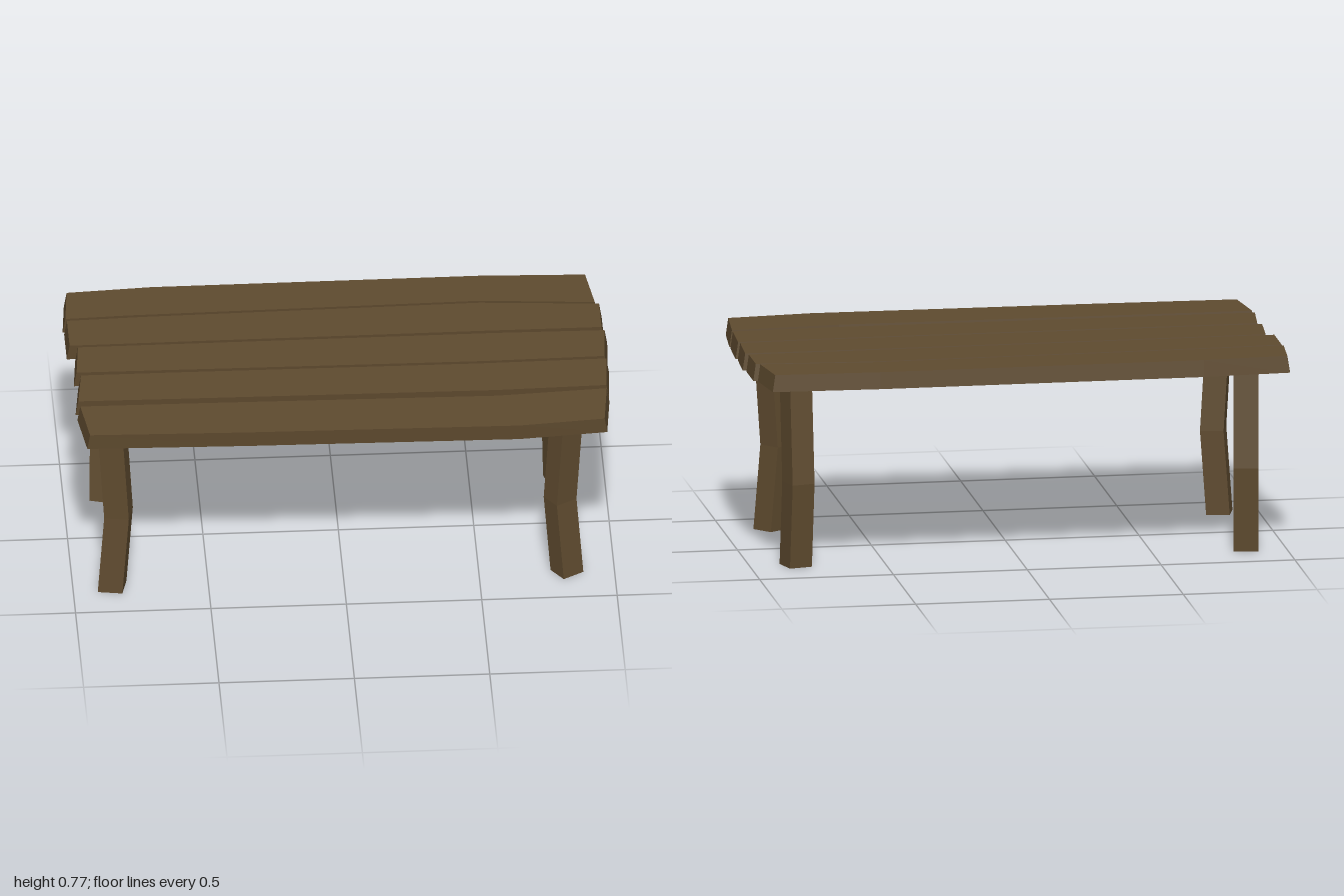
import * as THREE from 'three';

const wood = new THREE.MeshStandardMaterial({ color: 0x5f4b2f, flatShading: true, side: THREE.DoubleSide });

// Lofts a shell through rings of [x, y, z] (top ring first, counter-clockwise from above).
function loft(rings, capTop) {
  const n = rings[0].length;
  const index = [];
  for (let r = 0; r < rings.length - 1; r++) {
    for (let i = 0; i < n; i++) {
      const a = r * n + i, b = r * n + (i + 1) % n;
      index.push(a, a + n, b + n, a, b + n, b);
    }
  }
  if (capTop) {
    for (let i = 0; i < n / 2 - 1; i++) {
      index.push(i, i + 1, n - 2 - i, i, n - 2 - i, n - 1 - i);
    }
  }
  const geometry = new THREE.BufferGeometry();
  geometry.setAttribute('position', new THREE.Float32BufferAttribute(rings.flat(2), 3));
  geometry.setIndex(index);
  geometry.computeVertexNormals();
  return geometry;
}

// Plank outlines, [x, z] from left to right along the front and back edges.
const planks = [
  { front: [[-0.99, -0.305], [-0.76, -0.315], [0.54, -0.337], [0.965, -0.303]],
    back: [[-0.975, -0.48], [-0.66, -0.5], [0.55, -0.505], [0.94, -0.49]] },
  { front: [[-0.985, -0.125], [-0.59, -0.128], [0.55, -0.135], [0.98, -0.135]],
    back: [[-0.985, -0.292], [-0.7, -0.302], [0.54, -0.324], [0.98, -0.292]] },
  { front: [[-0.97, 0.057], [-0.58, 0.06], [0.52, 0.068], [0.98, 0.06]],
    back: [[-0.955, -0.112], [-0.6, -0.113], [0.58, -0.118], [0.99, -0.113]] },
  { front: [[-0.975, 0.25], [-0.57, 0.255], [0.57, 0.265], [0.975, 0.255]],
    back: [[-0.955, 0.077], [-0.61, 0.077], [0.52, 0.083], [0.985, 0.077]] },
  { front: [[-0.945, 0.48], [-0.37, 0.495], [0.64, 0.508], [0.955, 0.48]],
    back: [[-0.97, 0.285], [-0.585, 0.288], [0.57, 0.303], [0.975, 0.277]] },
];

// Hollow plank, open underneath, with ends that flare slightly downward.
function makePlank({ front, back }) {
  const outline = [...front, ...[...back].reverse()];
  const top = outline.map(([x, z]) => [x, 0.768, z]);
  const bottom = outline.map(([x, z]) => [x + (Math.abs(x) > 0.8 ? 0.01 * Math.sign(x) : 0), 0.705, z - 0.005]);
  return loft([top, bottom], true);
}

// Leg footprints with the sideways bend at knee height.
const legs = [
  { name: 'frontLeftLeg', bend: [-0.025, -0.006],
    foot: [[0.765, 0.315], [0.81, 0.38], [0.885, 0.335], [0.83, 0.272]] },
  { name: 'frontRightLeg', bend: [0.024, -0.006],
    foot: [[-0.885, 0.275], [-0.91, 0.365], [-0.82, 0.38], [-0.8, 0.295]] },
  { name: 'backLeftLeg', bend: [-0.005, -0.03],
    foot: [[0.775, -0.32], [0.8, -0.225], [0.885, -0.255], [0.86, -0.34]] },
  { name: 'backRightLeg', bend: [0.005, -0.03],
    foot: [[-0.89, -0.34], [-0.905, -0.25], [-0.82, -0.225], [-0.8, -0.325]] },
];

// Crooked open-ended leg.
function makeLeg({ foot, bend }) {
  const ring = (y, k) => foot.map(([x, z]) => [x + bend[0] * k, y, z + bend[1] * k]);
  return loft([ring(0.71, 0), ring(0.32, 1), ring(0, 0)], false);
}

export function createModel() {
  const table = new THREE.Group();
  table.name = 'table';
  const add = (name, geometry) => {
    const mesh = new THREE.Mesh(geometry, wood);
    mesh.name = name;
    table.add(mesh);
  };
  planks.forEach((plank, i) => add(`plank${i + 1}`, makePlank(plank)));
  legs.forEach((leg) => add(leg.name, makeLeg(leg)));
  return table;
}
